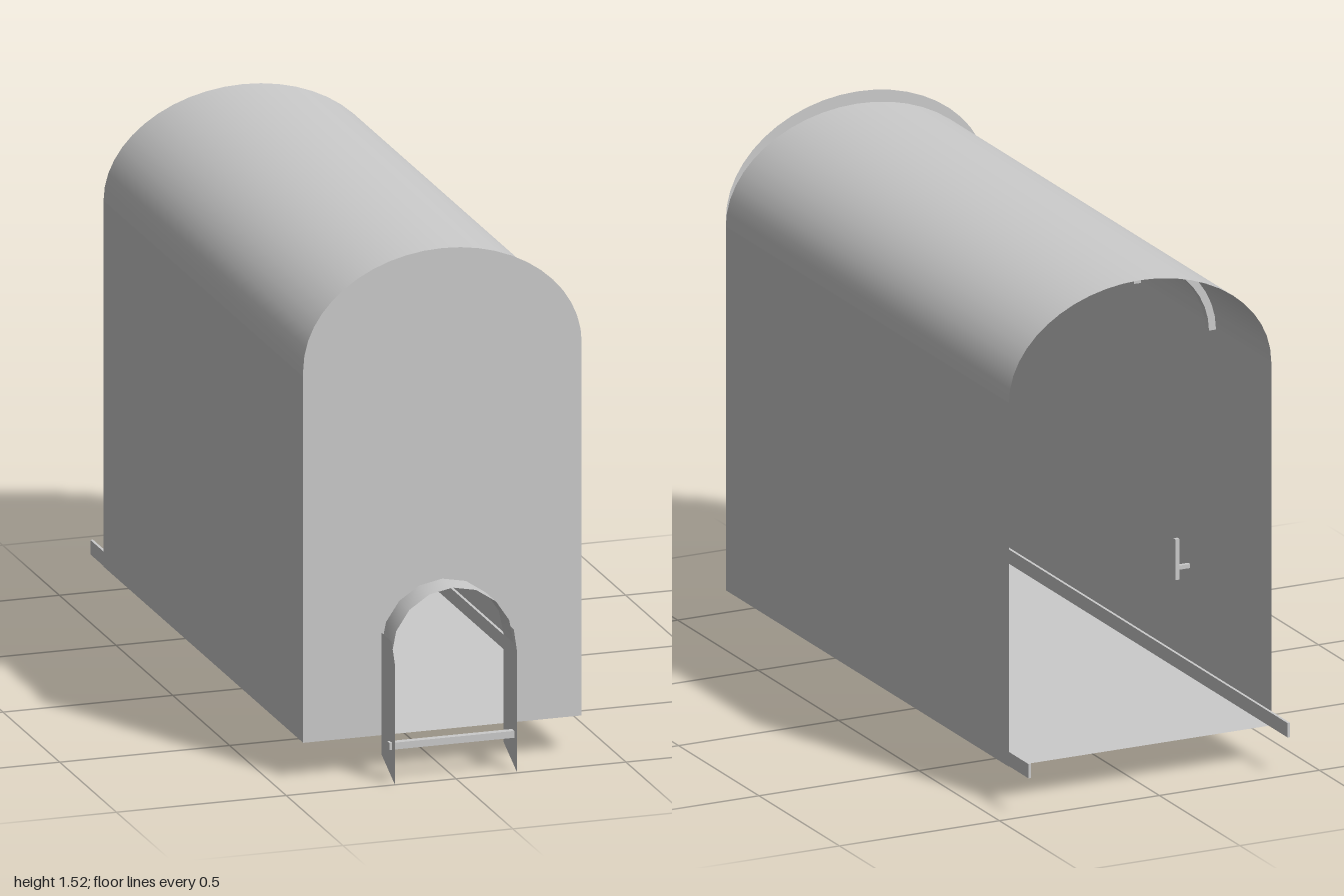
import * as THREE from 'three';

const HALF = 0.41;    // half width of the shelter
const FLOOR = 0.11;   // height of the floor
const SPRING = 1.18;  // height where the roof arch starts
const LEN = 0.88;     // half length
const DOOR = 0.18;    // half width of the doorway

// Points of a half-elliptical arch from +x over the top to -x
function arch(rx, ry, cy, n) {
  const pts = [];
  for (let i = 0; i <= n; i++) {
    const a = Math.PI * i / n;
    pts.push(new THREE.Vector2(rx * Math.cos(a), cy + ry * Math.sin(a)));
  }
  return pts;
}

// Thin smooth sheet swept along z under an arch profile
function archSheet(pts, z0, z1) {
  const geo = new THREE.PlaneGeometry(1, 1, pts.length - 1, 1);
  const pos = geo.attributes.position;
  for (let i = 0; i < pos.count; i++) {
    const p = pts[pts.length - 1 - (i % pts.length)];
    pos.setXYZ(i, p.x, p.y, i < pts.length ? z0 : z1);
  }
  geo.computeVertexNormals();
  return geo;
}

export function createModel() {
  const group = new THREE.Group();
  const mat = new THREE.MeshStandardMaterial({ color: 0xcccccc, side: THREE.DoubleSide });
  const add = (name, geo, x = 0, y = 0, z = 0) => {
    const mesh = new THREE.Mesh(geo, mat);
    mesh.name = name;
    mesh.position.set(x, y, z);
    group.add(mesh);
    return mesh;
  };

  // Floor and arched roof; the back end stays open
  add('floor', new THREE.PlaneGeometry(2 * HALF, 2 * LEN).rotateX(-Math.PI / 2), 0, FLOOR, 0);
  add('roof', archSheet(arch(HALF, 0.3, SPRING, 24), -LEN, LEN));

  // Front panel, a little taller than the roof, with an arched doorway
  const doorArch = arch(DOOR, 0.18, 0.37, 8);
  const front = new THREE.Shape([
    new THREE.Vector2(-HALF, FLOOR), new THREE.Vector2(-DOOR, FLOOR),
    ...doorArch.slice().reverse(),
    new THREE.Vector2(DOOR, FLOOR), new THREE.Vector2(HALF, FLOOR),
    ...arch(HALF, 0.316, 1.2, 24),
  ]);
  add('frontPanel', new THREE.ShapeGeometry(front), 0, 0, LEN);

  // Entrance hood over the doorway
  const hoodArch = [new THREE.Vector2(DOOR, 0.37), ...doorArch.slice(1, -1), new THREE.Vector2(-DOOR, 0.37)];
  add('entranceHood', archSheet(hoodArch, LEN, 0.97));

  // Entrance cheek outline, drawn with z across and y up
  const cheek = new THREE.Shape([
    new THREE.Vector2(LEN, 0.055), new THREE.Vector2(1, 0), new THREE.Vector2(1, 0.35),
    new THREE.Vector2(0.97, 0.41), new THREE.Vector2(LEN, 0.41),
  ]);
  add('entranceSill', new THREE.BoxGeometry(0.375, 0.02, 0.02), 0, 0.105, 0.965);

  // Parts mirrored on both sides
  for (const s of [1, -1]) {
    const side = s > 0 ? 'left' : 'right';
    add(side + 'Wall', new THREE.PlaneGeometry(2 * LEN, SPRING - FLOOR).rotateY(s * Math.PI / 2),
      s * HALF, (SPRING + FLOOR) / 2, 0);
    add(side + 'EntranceCheek', new THREE.ShapeGeometry(cheek).rotateY(-Math.PI / 2), s * DOOR, 0, 0);
    // Floor rail, poking out at the back
    add(side + 'Rail', new THREE.BoxGeometry(0.008, 0.042, 1 + LEN), s * 0.405, 0.132, (LEN - 1) / 2);
    // Wall hook: short stem with an upright bar
    add(side + 'HookStem', new THREE.BoxGeometry(0.04, 0.012, 0.012), s * 0.39, 0.43, -0.37);
    add(side + 'HookBar', new THREE.BoxGeometry(0.012, 0.12, 0.012), s * 0.37, 0.455, -0.37);
  }

  // Ribs under the roof
  const ribShape = new THREE.Shape([
    ...arch(0.407, 0.297, SPRING - 0.005, 24),
    ...arch(0.385, 0.275, SPRING - 0.005, 24).reverse(),
  ]);
  const ribGeo = new THREE.ExtrudeGeometry(ribShape, { depth: 0.025, bevelEnabled: false });
  for (const z of [-0.53, -0.065, 0.4]) add('roofRib', ribGeo, 0, 0, z - 0.0125);

  return group;
}
